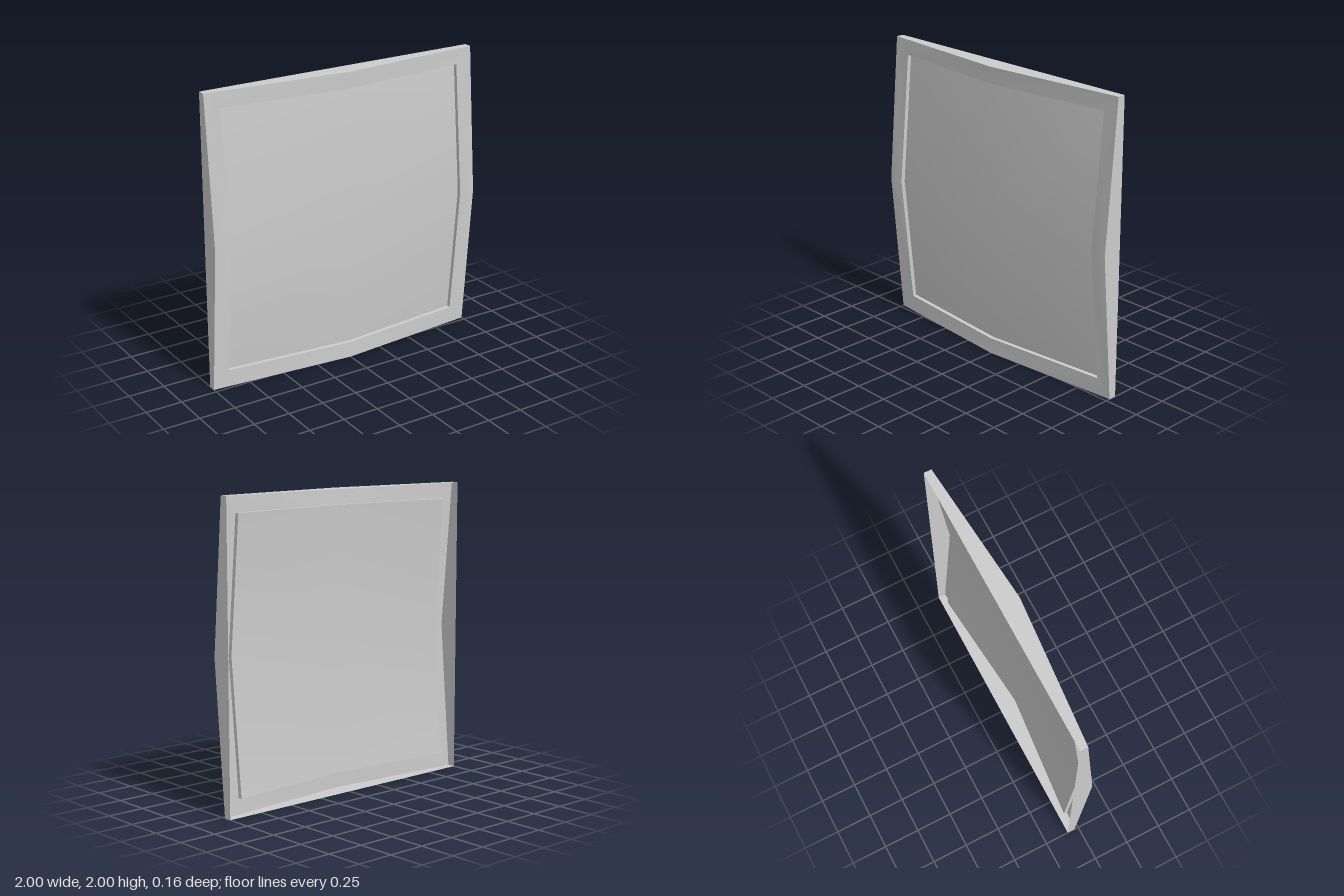
import * as THREE from 'three';

const OUTER = 1, INNER = 0.89;
const BACK = -0.083, CORNER = -0.03, MIDDLE = 0.054, LIP = 0.028, PEAK = 0.082;

// Square loop of corners and edge middles, counter-clockwise from the front
function loop(half, cornerZ, middleZ) {
  const steps = [[-1, -1], [0, -1], [1, -1], [1, 0], [1, 1], [0, 1], [-1, 1], [-1, 0]];
  return steps.map(([x, y]) => [x * half, 1 + y * half, x && y ? cornerZ : middleZ]);
}

// Closed band of quads between two loops
function band(a, b, smooth) {
  const n = a.length, index = [];
  for (let i = 0; i < n; i++) {
    const j = (i + 1) % n;
    index.push(i, j, n + j, i, n + j, n + i);
  }
  let geo = new THREE.BufferGeometry();
  geo.setAttribute('position', new THREE.Float32BufferAttribute([...a, ...b].flat(), 3));
  geo.setIndex(index);
  if (!smooth) geo = geo.toNonIndexed();
  geo.computeVertexNormals();
  return geo;
}

export function createModel() {
  const group = new THREE.Group();
  const grey = new THREE.MeshStandardMaterial({ color: 0xcccccc, side: THREE.DoubleSide });
  grey.name = 'light grey';
  const add = (name, geo) => {
    const mesh = new THREE.Mesh(geo, grey);
    mesh.name = name;
    group.add(mesh);
  };

  const backEdge = loop(OUTER, BACK, BACK);
  const frontEdge = loop(OUTER, CORNER, MIDDLE);
  const innerEdge = loop(INNER, CORNER, MIDDLE);
  const panelEdge = loop(INNER, CORNER - LIP, MIDDLE - LIP);

  // Thin outer walls with a straight back edge, open at the back
  add('outerWalls', band(backEdge, frontEdge, false));
  // Border that bulges forward at the middle of each side
  add('frameBorder', band(frontEdge, innerEdge, true));
  // Small step down to the panel
  add('innerLip', band(innerEdge, panelEdge, false));

  // Bulging panel with soft shading
  const panel = new THREE.PlaneGeometry(2 * INNER, 2 * INNER, 2, 2).translate(0, 1, 0);
  const p = panel.attributes.position;
  for (let i = 0; i < p.count; i++) {
    const offCentre = (Math.abs(p.getX(i)) > 0.1) + (Math.abs(p.getY(i) - 1) > 0.1);
    p.setZ(i, [PEAK, MIDDLE - LIP, CORNER - LIP][offCentre]);
  }
  panel.computeVertexNormals();
  add('panel', panel);

  return group;
}
